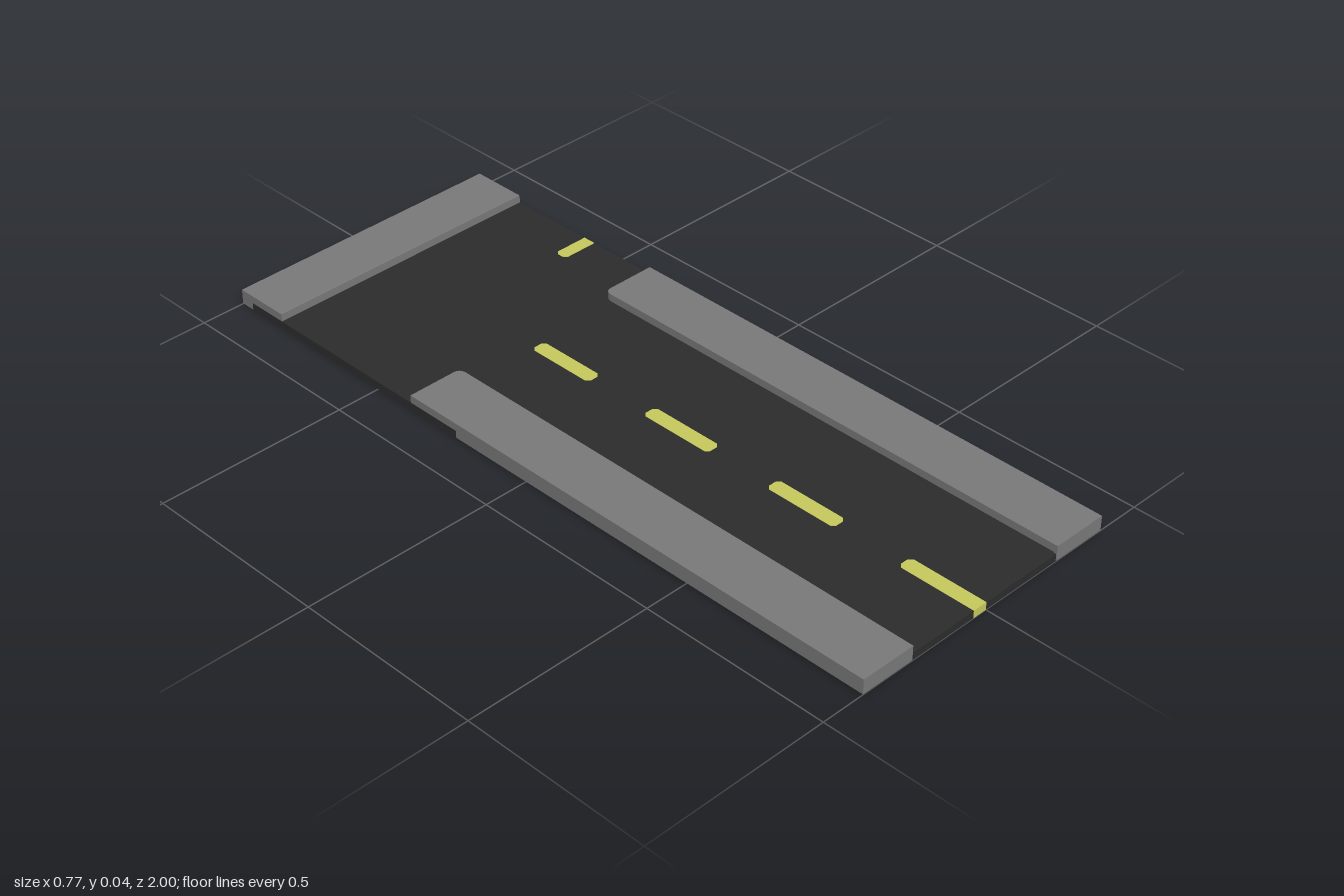
import * as THREE from 'three';

const HALF_W = 0.383;

// Extrudes a plan outline of [x, z] points upward from y0 to y1
function slab(name, points, y0, y1, material) {
  const shape = new THREE.Shape(points.map(([x, z]) => new THREE.Vector2(x, -z)));
  const geometry = new THREE.ExtrudeGeometry(shape, { depth: y1 - y0, bevelEnabled: false });
  geometry.rotateX(-Math.PI / 2).translate(0, y0, 0);
  const mesh = new THREE.Mesh(geometry, material);
  mesh.name = name;
  return mesh;
}

export function createModel() {
  const asphalt = new THREE.MeshStandardMaterial({ color: 0x2c2c2c });
  asphalt.name = 'asphalt';
  const concrete = new THREE.MeshStandardMaterial({ color: 0x797979 });
  concrete.name = 'concrete';
  const paint = new THREE.MeshStandardMaterial({ color: 0xc6c95c });
  paint.name = 'yellowPaint';

  const model = new THREE.Group();
  model.name = 'roadJunction';

  // Road bed: flush at the open ends, tucked just inside the pavements elsewhere
  const inset = HALF_W - 0.003;
  const half = [[0.23, 0.9995], [0.23, 0.99], [inset, 0.99], [inset, -0.24],
    [HALF_W, -0.23], [HALF_W, -0.96], [inset - 0.005, -0.975], [inset - 0.005, -0.995]];
  const mirrored = half.map(([x, z]) => [-x, z]).reverse();
  model.add(slab('roadBed', [...half, ...mirrored], 0.0005, 0.02, asphalt));

  // Side pavements with a small rounded corner at the junction
  const edge = HALF_W - 0.0005, inner = 0.232, end = -0.385, r = 0.018;
  for (const side of [1, -1]) {
    const outline = [[edge, 1], [edge, end]];
    for (let i = 0; i <= 4; i++) {
      const a = (i / 4) * Math.PI / 2;
      outline.push([inner + r - r * Math.sin(a), end + r - r * Math.cos(a)]);
    }
    outline.push([inner, 1]);
    model.add(slab(side > 0 ? 'leftPavement' : 'rightPavement',
      outline.map(([x, z]) => [x * side, z]), 0.001, 0.04, concrete));
  }

  // Pavement across the far side of the junction
  model.add(slab('backPavement',
    [[-edge, -1], [edge, -1], [edge, -0.85], [-edge, -0.85]], 0.001, 0.04, concrete));

  // Centre dashes with clipped corners; the first one is cut off by the road end
  const c = 0.009;
  [[-0.35, -0.16], [0.02, 0.225], [0.405, 0.605], [0.79, 1]].forEach(([z0, z1], i) => {
    const cut = z1 === 1 ? 0 : c;
    model.add(slab('centreDash' + (i + 1), [
      [-0.04 + c, z0], [-c, z0], [0, z0 + c], [0, z1 - cut],
      [-cut, z1], [-0.04 + cut, z1], [-0.04, z1 - cut], [-0.04, z0 + c],
    ].filter((p, j, a) => j === 0 || p[0] !== a[j - 1][0] || p[1] !== a[j - 1][1]), 0, 0.0206, paint));
  });

  // Dash on the side road
  model.add(slab('sideRoadDash', [
    [0.285, -0.615 + c], [0.285 + c, -0.615], [HALF_W + 0.0005, -0.615],
    [HALF_W + 0.0005, -0.58], [0.285 + c, -0.58], [0.285, -0.58 - c],
  ], 0, 0.0206, paint));

  return model;
}
